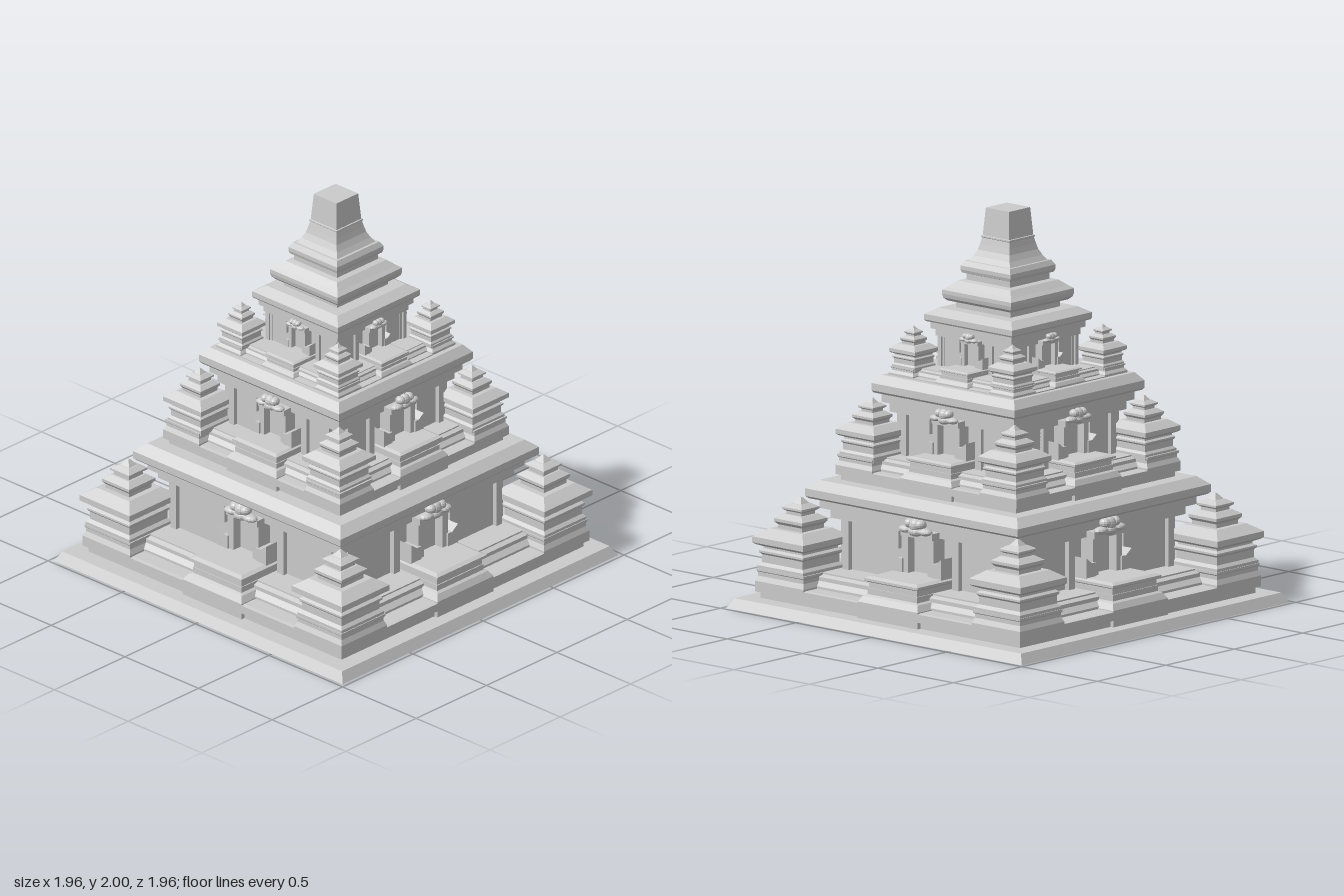
import * as THREE from 'three';

const stone = new THREE.MeshStandardMaterial({ color: 0xcccccc, flatShading: true });

// Stack of rectangles: each profile step is [outward growth, y]; capped at both ends.
function loft(name, profile, hx = 0, hz = hx, x = 0, z = 0) {
  const pos = [], idx = [];
  const corners = [[1, 1], [1, -1], [-1, -1], [-1, 1]];
  for (const [g, y] of profile)
    for (const [sx, sz] of corners) pos.push(x + sx * (hx + g), y, z + sz * (hz + g));
  const n = profile.length;
  for (let i = 0; i < n - 1; i++)
    for (let k = 0; k < 4; k++) {
      const a = i * 4 + k, b = i * 4 + (k + 1) % 4;
      idx.push(a, b, b + 4, a, b + 4, a + 4);
    }
  const t = (n - 1) * 4;
  idx.push(t, t + 1, t + 2, t, t + 2, t + 3, 0, 2, 1, 0, 3, 2);
  let geo = new THREE.BufferGeometry();
  geo.setAttribute('position', new THREE.Float32BufferAttribute(pos, 3));
  geo.setIndex(idx);
  geo = geo.toNonIndexed();
  geo.computeVertexNormals();
  const mesh = new THREE.Mesh(geo, stone);
  mesh.name = name;
  return mesh;
}

const block = (name, hx, y0, y1, z0, z1, x = 0) =>
  loft(name, [[0, y0], [0, y1]], hx, (z1 - z0) / 2, x, (z0 + z1) / 2);

// Corner shrine with three diminishing eaves, sized for the lowest storey
const shrineProfile = [
  [.15, -.02], [.15, .015], [.135, .03], [.135, .07], [.145, .08], [.145, .09], [.13, .1], [.13, .11],
  [.155, .12], [.17, .13], [.17, .16], [.11, .2], [.08, .2], [.08, .22], [.093, .235], [.093, .25],
  [.06, .272], [.05, .272], [.05, .287], [.065, .297], [.065, .307], [.035, .325], [.03, .325], [.005, .355]
];

// Five-lobed flower ornament
function flower(w, y, z) {
  const g = new THREE.Group();
  g.name = 'flowerOrnament';
  const lobes = [[0, .25, .34, .34], [.6, 0, .4, .18], [-.6, 0, .4, .18], [.34, .32, .26, .24], [-.34, .32, .26, .24], [0, -.05, .4, .24]];
  for (const [x, dy, rx, ry] of lobes) {
    const m = new THREE.Mesh(new THREE.SphereGeometry(1, 12, 8), stone);
    m.name = 'petal';
    m.scale.set(rx * w, ry * w, .3 * w);
    m.position.set(x * w, y + dy * w, z);
    g.add(m);
  }
  return g;
}

// Niche, pilasters and base projections on one side of a storey
function side(t) {
  const g = new THREE.Group();
  g.name = 'facade';
  const { y0, y1, y2, base, wall, mid, porch: p, shrine } = t;
  const s = p / .165, h = y1 - y0;
  const inner = shrine.c - shrine.w * .9;

  // projecting porch base and seat
  g.add(loft('porchBase', [[.035 * s, y0], [.035 * s, y1 - h * .45], [.015 * s, y1 - h * .25], [0, y1 - h * .2], [0, y1]],
    p, base / 2 - .035 * s, 0, base / 2));
  const seatTop = y1 + .06 * s;
  g.add(loft('porchSeat', [[-.005, y1], [-.005, y1 + .03 * s], [.012 * s, y1 + .038 * s], [.012 * s, y1 + .05 * s], [-.01 * s, seatTop]],
    p, (base - wall) / 2, 0, (base + wall) / 2 - .035 * s));

  // niche back, side jambs with sloping tops, and lintel
  const front = wall + .09 * s;
  g.add(block('nicheBack', .07 * s, y1, y2, wall - .05, wall + .03 * s));
  for (const m of [-1, 1]) {
    g.add(block('nichePillar', .02 * s, y1, y2 + .02 * s, wall - .03, front - .01 * s, m * .085 * s));
    const shape = new THREE.Shape();
    shape.moveTo(m * .095 * s, seatTop - .02);
    shape.lineTo(m * .165 * s, seatTop - .02);
    shape.lineTo(m * .165 * s, seatTop + .1 * s);
    shape.lineTo(m * .125 * s, seatTop + .07 * s);
    shape.lineTo(m * .095 * s, seatTop + .07 * s);
    const jamb = new THREE.Mesh(new THREE.ExtrudeGeometry(shape, { depth: .1 * s, bevelEnabled: false }), stone);
    jamb.name = 'nicheJamb';
    jamb.position.z = wall - .01 * s;
    g.add(jamb);
    // wall pilasters
    g.add(block('innerPilaster', .022 * s, y1, y2, wall - .03, wall + .025 * s, m * .2 * s));
    g.add(block('outerPilaster', .02 * s, y1, y2, wall - .03, wall + .025 * s, m * (inner - .04 * s)));
  }
  g.add(block('nicheLintel', .105 * s, y2 - .005, y2 + .03 * s, wall - .03, front));
  g.add(flower(.105 * s, y2 + .035 * s, front + .005));

  // recessed base course between porch and corners
  g.add(loft('recessedBase', [[.05 * s, y0], [.05 * s, y1 - h * .4], [.025 * s, y1 - h * .25], [.025 * s, y1 - h * .12], [0, y1 - h * .05], [0, y1]],
    inner + .05, mid / 2 - .02 * s, 0, mid / 2));
  return g;
}

function storey(t) {
  const g = new THREE.Group();
  g.name = t.name;
  const { y0, y1, y2, y3, base, wall, roof, shrine } = t;
  const h = y1 - y0, r = y3 - y2;
  // full-width lower course, wall and stepped roof
  g.add(loft('lowerCourse', [[-.02, y0], [-.02, y0 + h * .2], [0, y0 + h * .22], [0, y0 + h * .5], [-.02, y0 + h * .52]], base));
  g.add(loft('wall', [[0, y0], [0, y2 + .01]], wall));
  const d = roof - wall;
  g.add(loft('steppedRoof', [
    [d * .3, y2], [d * .3, y2 + r * .24], [d * .6, y2 + r * .26], [d * .6, y2 + r * .5], [d * .9, y2 + r * .52],
    [d, y2 + r * .58], [d, y2 + r * .78], [d - t.slope, y3]], wall));
  // corner bases with shrines on them
  const cw = shrine.w * .95, cc = base - cw;
  for (const sx of [-1, 1]) for (const sz of [-1, 1]) {
    g.add(loft('cornerBase', [[0, y0 + h * .3], [0, y1 - h * .42], [-.012, y1 - h * .25], [-.012, y1 - h * .12], [-.006, y1 - h * .08], [-.006, y1]],
      cw, cw, sx * cc, sz * cc));
    g.add(loft('cornerShrine', shrineProfile.map(([x, y]) => [x * shrine.w / .17, y1 + y * shrine.h / .355]),
      0, 0, sx * shrine.c, sz * shrine.c));
  }
  for (let k = 0; k < 4; k++) {
    const f = side(t);
    f.rotation.y = k * Math.PI / 2;
    g.add(f);
  }
  return g;
}

export function createModel() {
  const model = new THREE.Group();
  model.name = 'tieredTemple';
  model.add(loft('plinth', [[.98, 0], [.95, .05], [.86, .05], [.86, .08]]));

  const storeys = [
    { name: 'lowerStorey', y0: .05, y1: .2, y2: .45, y3: .64, base: .88, wall: .58, mid: .75, roof: .705, slope: .05, porch: .165, shrine: { c: .72, w: .17, h: .355 } },
    { name: 'middleStorey', y0: .64, y1: .77, y2: .98, y3: 1.165, base: .6, wall: .385, mid: .51, roof: .475, slope: .035, porch: .14, shrine: { c: .472, w: .128, h: .28 } },
    { name: 'upperStorey', y0: 1.13, y1: 1.21, y2: 1.36, y3: 1.5, base: .415, wall: .235, mid: .36, roof: .292, slope: .05, porch: .09, shrine: { c: .328, w: .086, h: .2 } }
  ];
  for (const t of storeys) model.add(storey(t));

  // crown mouldings and tapering finial
  model.add(loft('crown', [
    [.18, 1.49], [.18, 1.53], [.21, 1.535], [.225, 1.55], [.23, 1.57], [.23, 1.59], [.21, 1.605], [.175, 1.635],
    [.145, 1.64], [.145, 1.67], [.16, 1.675], [.165, 1.69], [.165, 1.71], [.15, 1.735]]));
  model.add(loft('finial', [
    [.14, 1.73], [.12, 1.76], [.105, 1.79], [.097, 1.82], [.09, 1.85], [.094, 1.853], [.094, 1.86], [.088, 1.862], [.077, 2]]));
  return model;
}
